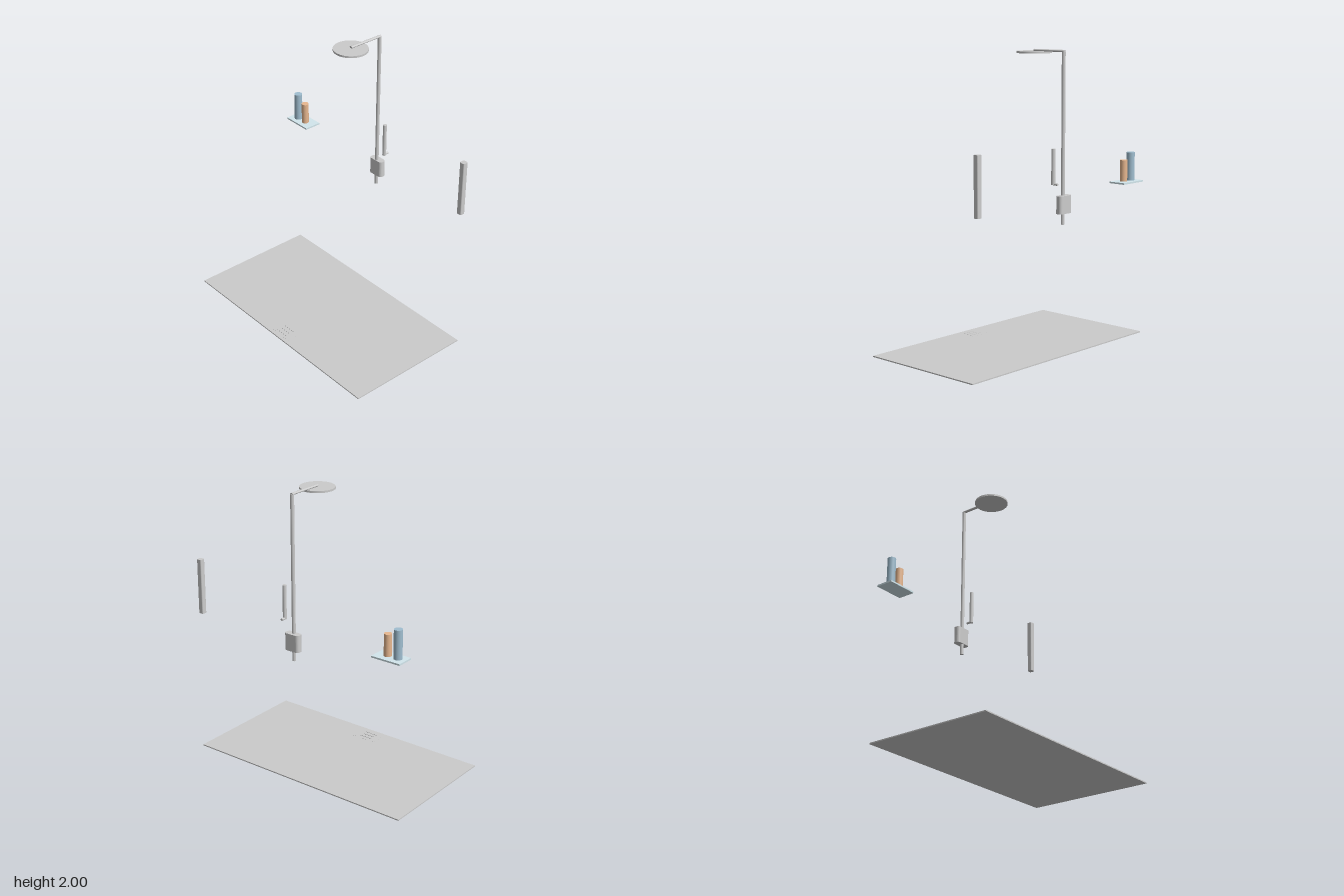
import * as THREE from 'three';

export function createModel() {
  const model = new THREE.Group();
  const material = (color) => new THREE.MeshStandardMaterial({ color });
  const grey = material(0xcccccc);
  const glass = material(0xd2e6ec);
  const blue = material(0xa0bed0);
  const orange = material(0xe8b890);

  function add(name, geometry, x, y, z, mat = grey) {
    const mesh = new THREE.Mesh(geometry, mat);
    mesh.name = name;
    mesh.position.set(x, y, z);
    model.add(mesh);
    return mesh;
  }
  const box = (w, h, d) => new THREE.BoxGeometry(w, h, d);
  const rod = (r, h) => new THREE.CylinderGeometry(r, r, h, 32);

  // Upright block with a rounded-rectangle plan, standing on its origin
  function roundedBlock(w, d, r, h) {
    const a = w / 2, b = d / 2;
    const s = new THREE.Shape();
    s.absarc(a - r, b - r, r, 0, Math.PI / 2);
    s.absarc(r - a, b - r, r, Math.PI / 2, Math.PI);
    s.absarc(r - a, r - b, r, Math.PI, Math.PI * 1.5);
    s.absarc(a - r, r - b, r, Math.PI * 1.5, Math.PI * 2);
    s.closePath();
    return new THREE.ExtrudeGeometry(s, { depth: h, bevelEnabled: false, curveSegments: 8 })
      .rotateX(-Math.PI / 2);
  }

  // Floor tray with a flush drain and three slats
  add('showerTray', box(1.685, 0.008, 0.91), 0, 0.004, 0.012);
  add('drainPlate', box(0.18, 0.002, 0.12), 0, 0.0075, 0.38);
  for (const z of [0.352, 0.385, 0.418]) add('drainSlat', box(0.095, 0.004, 0.005), 0, 0.009, z);

  // Riser, overhead arm and rain head
  add('riserPipe', rod(0.0125, 1.11), 0, 1.435, -0.438);
  const arm = rod(0.011, 0.255).rotateX(Math.PI / 2).scale(1, 0.68, 1);
  add('overheadArm', arm, 0, 1.9925, -0.3175);
  add('rainHead', new THREE.CylinderGeometry(0.115, 0.115, 0.013, 64), 0, 1.98, -0.189);

  // Mixer valve
  add('mixerValve', roundedBlock(0.113, 0.05, 0.02, 0.117), 0, 0.954, -0.445);

  // Hand shower on a small wall holder
  add('handShower', rod(0.013, 0.232), 0.083, 1.262, -0.427);
  add('handShowerHolder', rod(0.008, 0.036).rotateX(Math.PI / 2), 0.081, 1.151, -0.444);

  // Grab rail
  add('grabRail', roundedBlock(0.037, 0.037, 0.007, 0.383), 0.792, 1.022, -0.445);

  // Shelf with two bottles
  add('shelf', box(0.213, 0.011, 0.122), -0.727, 1.0775, -0.39, glass);
  add('tallBottle', rod(0.028, 0.194), -0.776, 1.18, -0.387, blue);
  add('shortBottle', rod(0.025, 0.147), -0.7, 1.1565, -0.387, orange);

  return model;
}
